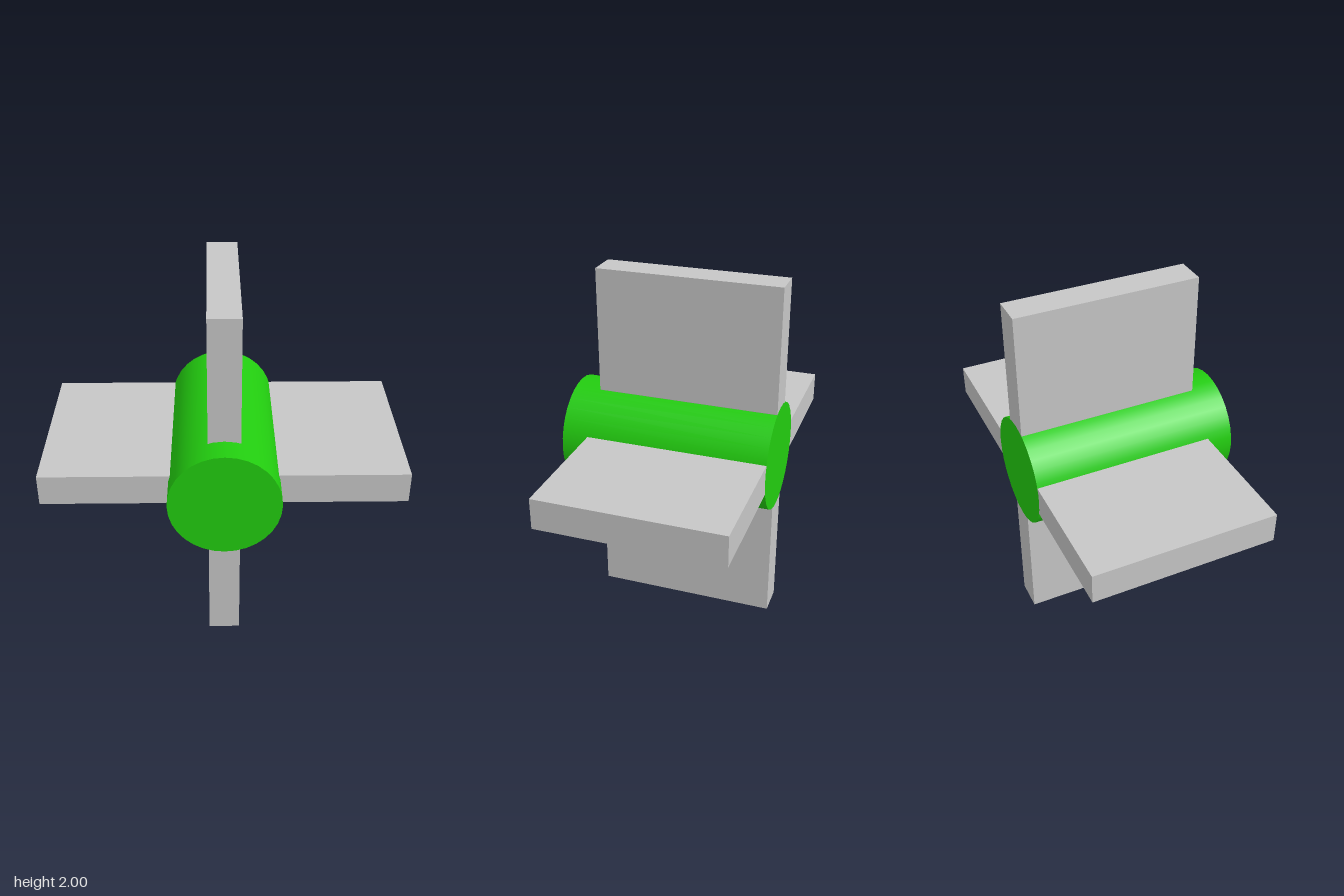
import * as THREE from 'three';

const HUB_RADIUS = 0.305;
const BACK = -0.59;
const FRONT = 0.59;
const BLADE_FRONT = 0.44;
const HALF_THICKNESS = 0.0875;

export function createModel() {
  const model = new THREE.Group();
  model.name = 'bladedHub';

  const green = new THREE.MeshStandardMaterial({ color: 0x22cc0f });
  green.name = 'green';
  const grey = new THREE.MeshStandardMaterial({ color: 0xc6c6c6 });
  grey.name = 'light grey';

  // Central hub, running front to back
  const hubGeometry = new THREE.CylinderGeometry(HUB_RADIUS, HUB_RADIUS, FRONT - BACK, 32);
  hubGeometry.rotateX(Math.PI / 2);
  const hub = new THREE.Mesh(hubGeometry, green);
  hub.name = 'hub';
  hub.position.set(0, 1, (FRONT + BACK) / 2);
  model.add(hub);

  // Blade outline: a slab whose inner end follows the hub
  const angle = Math.asin(HALF_THICKNESS / HUB_RADIUS);
  const outline = new THREE.Shape();
  outline.moveTo(HUB_RADIUS * Math.cos(angle), -HALF_THICKNESS);
  outline.lineTo(1, -HALF_THICKNESS);
  outline.lineTo(1, HALF_THICKNESS);
  outline.lineTo(HUB_RADIUS * Math.cos(angle), HALF_THICKNESS);
  outline.absarc(0, 0, HUB_RADIUS - 0.002, angle, -angle, true);
  const bladeGeometry = new THREE.ExtrudeGeometry(outline, {
    depth: BLADE_FRONT - BACK,
    bevelEnabled: false,
    curveSegments: 6,
  });

  // Four blades around the hub, flush with its back
  ['leftBlade', 'topBlade', 'rightBlade', 'bottomBlade'].forEach((name, i) => {
    const blade = new THREE.Mesh(bladeGeometry, grey);
    blade.name = name;
    blade.position.set(0, 1, BACK);
    blade.rotation.z = (i * Math.PI) / 2;
    model.add(blade);
  });

  return model;
}
